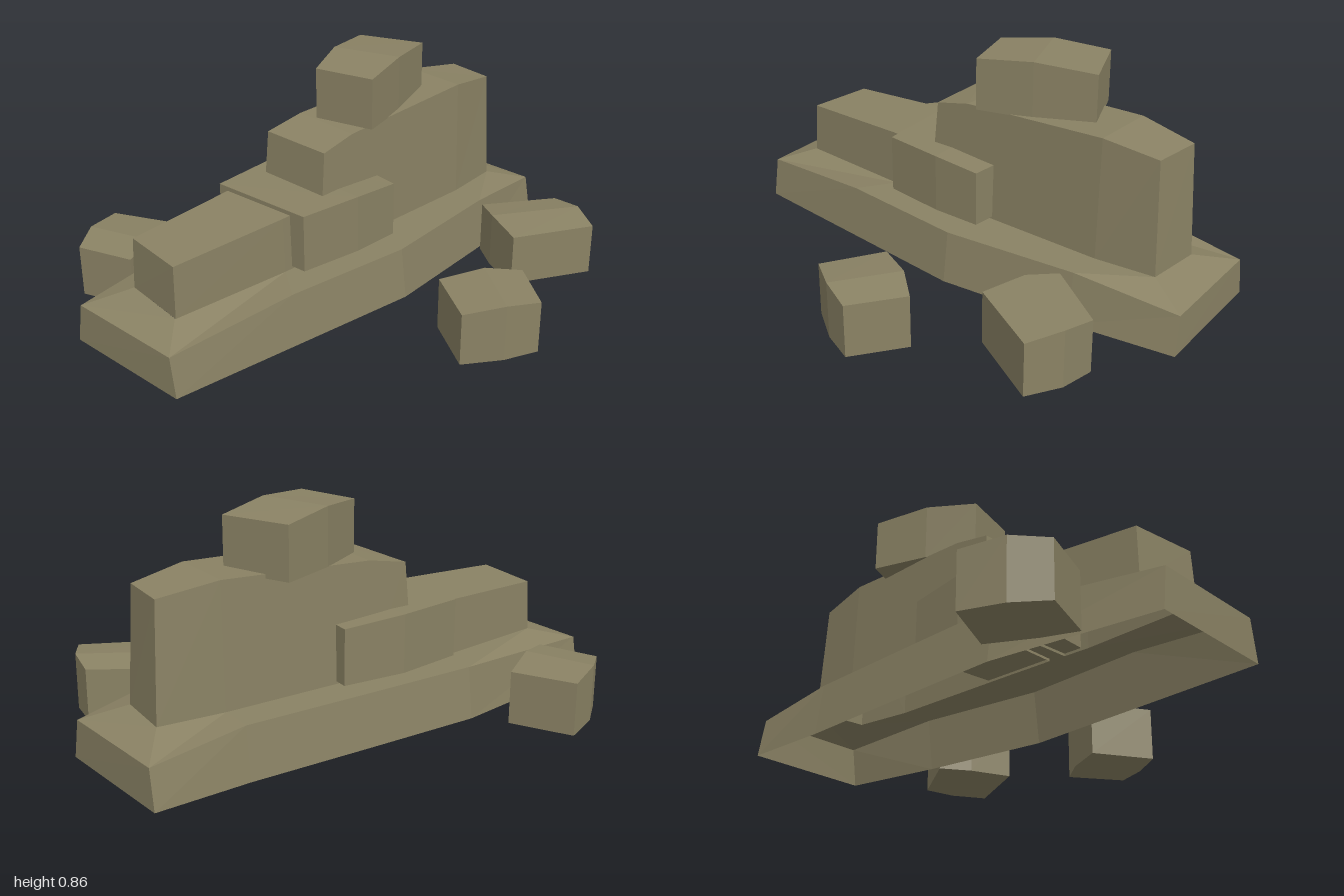
import * as THREE from 'three';

const stone = new THREE.MeshStandardMaterial({ color: 0x8a8264, side: THREE.DoubleSide });
stone.name = 'olive stone';
stone.flatShading = true;

// Flat-faced mesh from a list of four-cornered faces
function quadMesh(name, quads) {
  const pos = [];
  for (const [a, b, c, d] of quads) pos.push(...a, ...b, ...c, ...a, ...c, ...d);
  const geo = new THREE.BufferGeometry();
  geo.setAttribute('position', new THREE.Float32BufferAttribute(pos, 3));
  geo.computeVertexNormals();
  const mesh = new THREE.Mesh(geo, stone);
  mesh.name = name;
  return mesh;
}

// Block lofted front to back. Each station: left x, z, right x, z, top height,
// then how far the top edge is drawn in sideways and along z.
function block(name, y0, stations, closedBottom = true) {
  const rings = stations.map(([lx, lz, rx, rz, y, dx = 0, dz = 0]) => ({
    lb: [lx, y0, lz], rb: [rx, y0, rz],
    lt: [lx + dx, y, lz + dz], rt: [rx - dx, y, rz + dz],
  }));
  const quads = [];
  for (let i = 0; i + 1 < rings.length; i++) {
    const a = rings[i], b = rings[i + 1];
    quads.push([a.lt, a.rt, b.rt, b.lt], [a.rb, b.rb, b.rt, a.rt], [b.lb, a.lb, a.lt, b.lt]);
    if (closedBottom) quads.push([a.lb, b.lb, b.rb, a.rb]);
  }
  const f = rings[0], k = rings[rings.length - 1];
  quads.push([f.lb, f.rb, f.rt, f.lt], [k.rb, k.lb, k.lt, k.rt]);
  return quadMesh(name, quads);
}

// Hollow plinth: sloping outer walls and a deck around the opening under the hull blocks
function plinth() {
  // bottom x, z, top x, top z, top height, opening x, opening z
  const rim = [
    [-0.40, 1.0, -0.375, 0.995, 0.155, -0.28, 0.825],
    [0.14, 0.965, 0.115, 0.965, 0.155, -0.01, 0.845],
    [0.18, 0.45, 0.155, 0.45, 0.2, 0.015, 0.36],
    [0.22, -0.07, 0.195, -0.07, 0.2, 0.005, 0],
    [0.155, -0.6, 0.13, -0.6, 0.2, 0, -0.6],
    [0.085, -1.0, 0.06, -0.995, 0.15, -0.03, -0.835],
    [-0.435, -0.965, -0.41, -0.965, 0.15, -0.25, -0.85],
    [-0.435, -0.6, -0.41, -0.6, 0.2, -0.28, -0.6],
    [-0.46, -0.1, -0.435, -0.1, 0.2, -0.305, 0],
    [-0.48, 0.35, -0.455, 0.35, 0.2, -0.315, 0.36],
  ];
  const quads = [];
  rim.forEach((p, i) => {
    const q = rim[(i + 1) % rim.length];
    const low = (r) => [r[0], 0, r[1]], top = (r) => [r[2], r[4], r[3]], inner = (r) => [r[5], 0.2, r[6]];
    quads.push([low(p), low(q), top(q), top(p)], [top(p), top(q), inner(q), inner(p)]);
  });
  return quadMesh('plinth', quads);
}

export function createModel() {
  const model = new THREE.Group();
  model.name = 'stone block stack';
  model.add(
    plinth(),

    // Blocks on the plinth
    block('frontBlock', 0.2, [
      [-0.28, 0.825, -0.005, 0.845, 0.4, 0.006, -0.008],
      [-0.315, 0.36, 0.015, 0.36, 0.418, 0.006],
      [-0.312, 0.25, 0.012, 0.25, 0.42, 0.006],
    ], false),
    block('middleBlock', 0.21, [
      [-0.35, 0.365, 0.075, 0.32, 0.435],
      [-0.378, 0.1, 0.1, 0.07, 0.438],
      [-0.35, -0.15, 0.095, -0.125, 0.425],
    ]),
    block('tallBlock', 0.2, [
      [-0.31, 0.195, 0.008, 0.18, 0.605, 0.01, -0.035],
      [-0.305, 0, 0.006, 0, 0.637, 0.012],
      [-0.28, -0.6, 0, -0.6, 0.67, 0.012],
      [-0.25, -0.85, -0.03, -0.835, 0.64, 0.012, 0.02],
    ], false),
    block('topBlock', 0.645, [
      [-0.20, 0, 0.03, -0.07, 0.845],
      [-0.29, -0.18, -0.035, -0.28, 0.863],
      [-0.36, -0.39, -0.12, -0.5, 0.845],
    ]),

    // Loose stones on the ground
    block('backLooseStone', 0, [
      [0.34, -0.83, 0.17, -0.57, 0.205],
      [0.47, -0.81, 0.28, -0.5, 0.222],
      [0.595, -0.74, 0.44, -0.44, 0.205],
    ]),
    block('sideLooseStone', 0, [
      [0.45, 0, 0.67, 0.125, 0.205],
      [0.53, -0.16, 0.76, -0.01, 0.222],
      [0.62, -0.27, 0.81, -0.14, 0.205],
    ]),
    block('frontLooseStone', 0, [
      [-0.665, 0.81, -0.45, 0.725, 0.205],
      [-0.75, 0.7, -0.5, 0.6, 0.222],
      [-0.81, 0.55, -0.59, 0.435, 0.205],
    ]),
  );
  return model;
}
